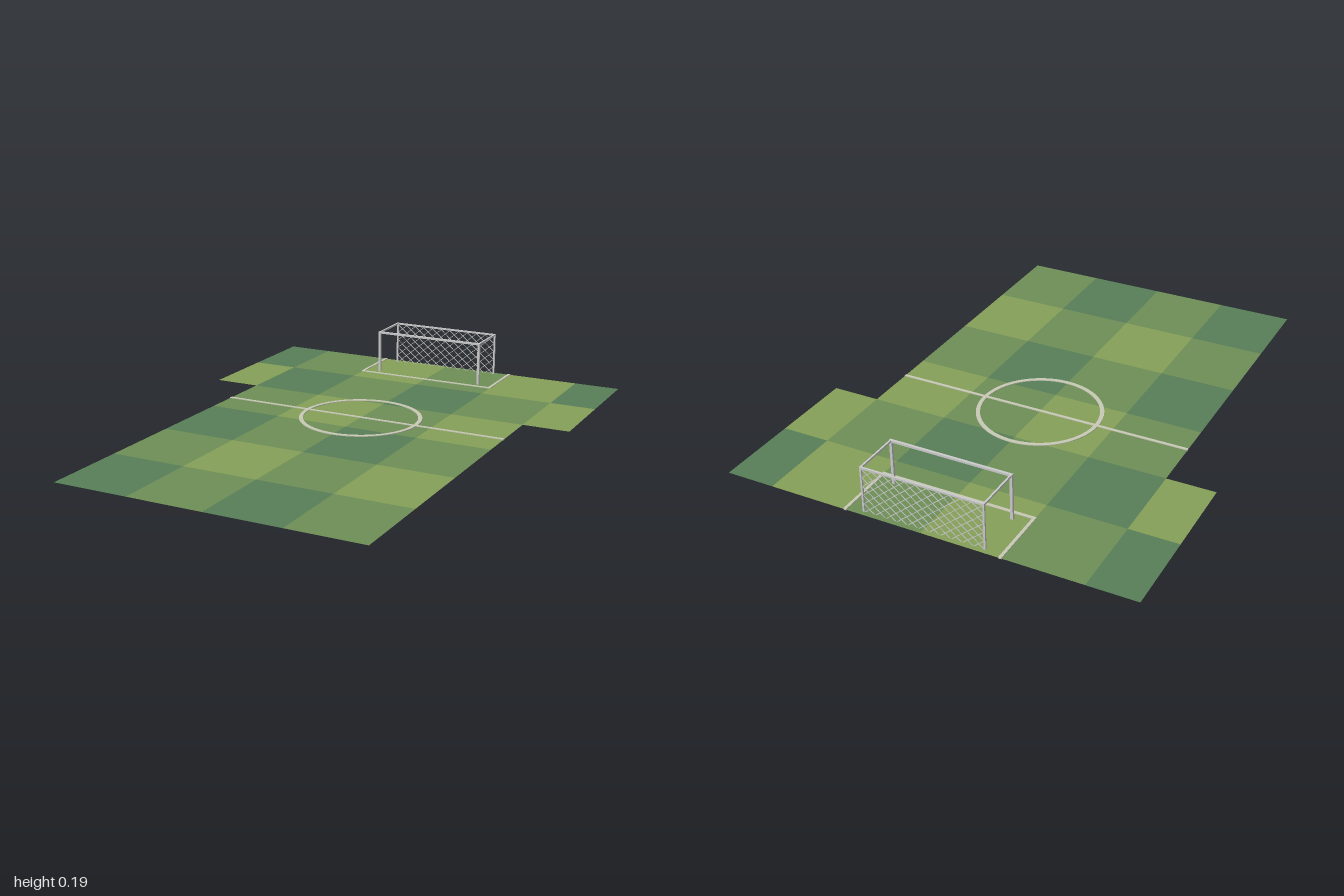
import * as THREE from 'three';
import { mergeGeometries } from 'three/addons/utils/BufferGeometryUtils.js';

const GROUND = 0.01;
const TURF = { dark: 0x587f58, mid: 0x6f8f57, light: 0x86a058 };

export function createModel() {
  const model = new THREE.Group();
  const lineMat = new THREE.MeshStandardMaterial({ color: 0xc8cab6 });
  const goalMat = new THREE.MeshStandardMaterial({ color: 0xcccccc });

  const add = (parent, name, geometry, material) => {
    const mesh = new THREE.Mesh(geometry, material);
    mesh.name = name;
    parent.add(mesh);
    return mesh;
  };
  const box = (x0, x1, y0, y1, z0, z1) =>
    new THREE.BoxGeometry(x1 - x0, y1 - y0, z1 - z0)
      .translate((x0 + x1) / 2, (y0 + y1) / 2, (z0 + z1) / 2);

  // Turf: chequered flat tiles, grouped by shade
  const tiles = { dark: [], mid: [], light: [] };
  const tile = (shade, x0, x1, z0, z1) => tiles[shade].push(
    new THREE.PlaneGeometry(x1 - x0, z1 - z0).rotateX(-Math.PI / 2)
      .translate((x0 + x1) / 2, GROUND, (z0 + z1) / 2));
  const rows = [-1, -0.673, -0.344, -0.008, 0.331, 0.66, 1];
  const cols = [-0.6, -0.3, 0, 0.3, 0.6];
  for (let r = 0; r < 6; r++) {
    for (let c = 0; c < 4; c++) {
      const shade = r % 2 ? ['dark', 'mid'][c % 2] : ['mid', 'light'][c % 2];
      tile(shade, cols[c], cols[c + 1], rows[r], rows[r + 1]);
    }
    // Side wings beside the goal end
    if (r < 2) {
      const shade = r ? 'light' : 'dark';
      tile(shade, -0.788, -0.6, rows[r], rows[r + 1]);
      tile(shade, 0.6, 0.788, rows[r], rows[r + 1]);
    }
  }
  for (const shade in tiles) {
    add(model, shade + 'Turf', mergeGeometries(tiles[shade]),
      new THREE.MeshStandardMaterial({ color: TURF[shade], side: THREE.DoubleSide }));
  }

  // Field markings: thin strips set into the turf
  const markings = new THREE.Group();
  markings.name = 'fieldMarkings';
  model.add(markings);
  const low = GROUND - 0.003, high = GROUND + 0.003;
  const strip = (name, x0, x1, z0, z1) => add(markings, name, box(x0, x1, low, high, z0, z1), lineMat);
  strip('halfwayLine', -0.6, 0.6, -0.146, -0.134);
  strip('penaltyAreaFront', -0.304, 0.304, -0.766, -0.754);
  for (const s of [-1, 1]) strip('penaltyAreaSide', s * 0.298 - 0.006, s * 0.298 + 0.006, -1, -0.766);

  // Centre circle
  const ring = new THREE.Shape().absarc(0, 0, 0.243, 0, Math.PI * 2, false);
  ring.holes.push(new THREE.Path().absarc(0, 0, 0.227, 0, Math.PI * 2, true));
  const circle = new THREE.ExtrudeGeometry(ring, { depth: 0.006, bevelEnabled: false, curveSegments: 48 });
  add(markings, 'centreCircle', circle.rotateX(-Math.PI / 2).translate(0, low, -0.14), lineMat);

  // Goal frame
  const goal = new THREE.Group();
  goal.name = 'goal';
  model.add(goal);
  const X = 0.233, TOP = 0.19, FRONT = -0.795, BACK = -0.98, t = 0.005, b = 0.0035;
  for (const s of [-1, 1]) {
    const x = s * X;
    add(goal, 'frontPost', box(x - t, x + t, 0.003, TOP, FRONT - t, FRONT + t), goalMat);
    add(goal, 'backPost', box(x - b, x + b, 0.003, TOP, BACK - b, BACK + b), goalMat);
    add(goal, 'sideBar', box(x - b, x + b, TOP - 2 * b, TOP, BACK, FRONT), goalMat);
  }
  add(goal, 'crossbar', box(-X, X, TOP - 0.008, TOP, FRONT - t, FRONT + t), goalMat);
  add(goal, 'backBar', box(-X, X, TOP - 2 * b, TOP, BACK - b, BACK + b), goalMat);

  // Net: crossed diagonal strands clipped to the back of the goal
  const strands = [];
  const run = 1.2, step = 0.042, w = 0.0022, H = TOP - 0.001;
  for (const s of [-1, 1]) {
    for (let i = -12; i <= 12; i++) {
      const c = i * step; // where the strand crosses mid height
      const reach = (edge) => H / 2 + (edge - c) / (s * run);
      const y0 = Math.max(0, Math.min(reach(-X), reach(X)));
      const y1 = Math.min(H, Math.max(reach(-X), reach(X)));
      if (y1 - y0 < 0.005) continue;
      const ym = (y0 + y1) / 2;
      strands.push(new THREE.BoxGeometry(w, (y1 - y0) * Math.hypot(1, run), w)
        .rotateZ(-s * Math.atan(run))
        .translate(c + s * run * (ym - H / 2), ym, BACK));
    }
  }
  add(goal, 'net', mergeGeometries(strands), goalMat);

  return model;
}
